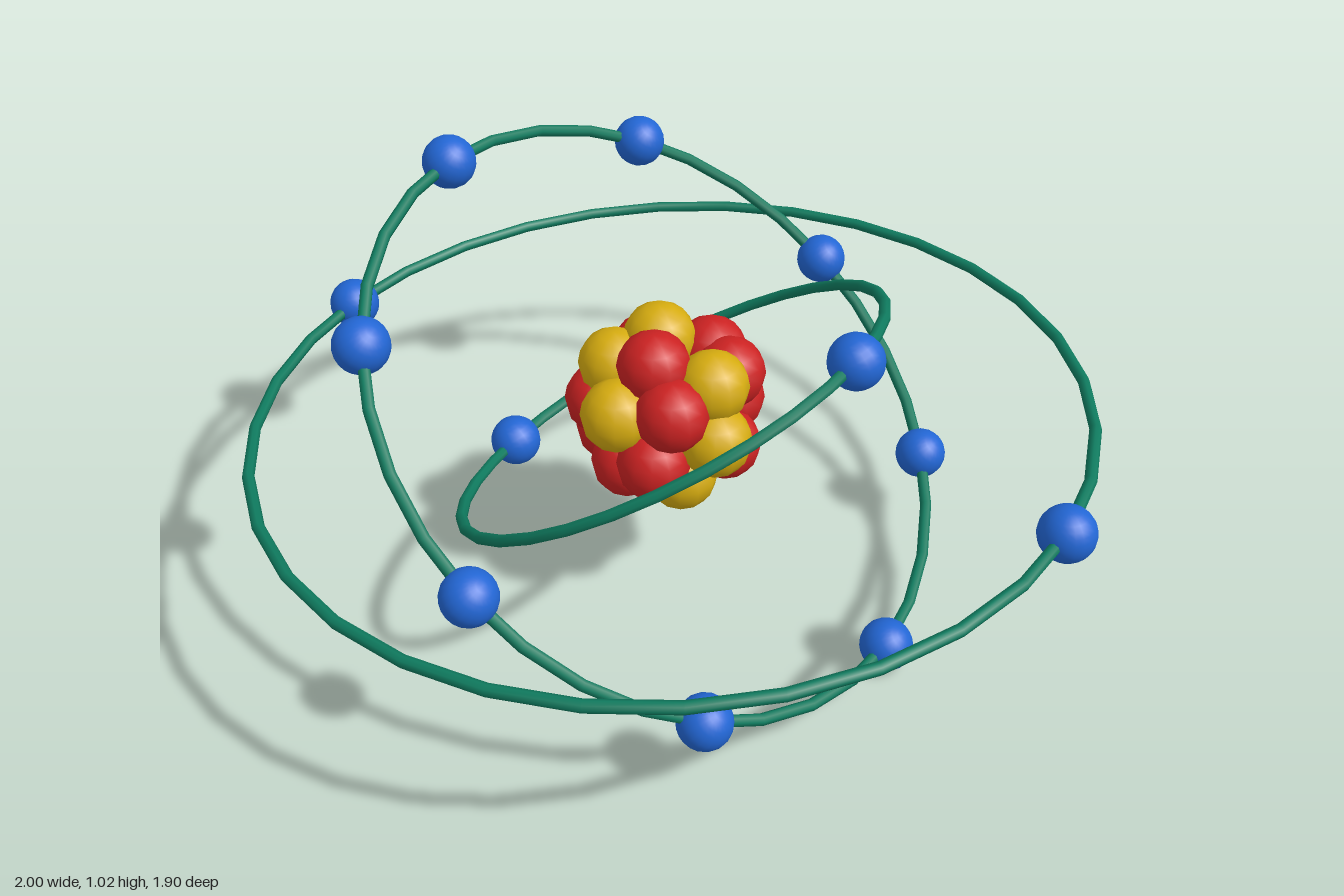
import * as THREE from 'three';

const mat = (name, color) => {
  const m = new THREE.MeshStandardMaterial({ color });
  m.name = name;
  return m;
};

export function createModel() {
  const red = mat('red', 0xcc2222);
  const yellow = mat('yellow', 0xd6ac10);
  const blue = mat('blue', 0x2266d4);
  const green = mat('green', 0x0f7b5f);

  const atom = new THREE.Group();
  atom.name = 'atom';
  atom.position.y = 0.516;

  // Nucleus: a tight shell of balls, given by their directions from the centre
  const nucleus = new THREE.Group();
  nucleus.name = 'nucleus';
  const ball = new THREE.SphereGeometry(0.083, 12, 8);
  const addBalls = (name, material, dirs) => dirs.forEach((d) => {
    const m = new THREE.Mesh(ball, material);
    m.name = name;
    m.position.set(...d).setLength(0.157);
    nucleus.add(m);
  });
  addBalls('proton', red, [
    [0, 0.16, 0.07], [0.09, 0.085, 0.13], [0.12, 0.09, -0.1], [0.04, 0.1, -0.14],
    [0.14, -0.1, -0.05], [0.09, -0.03, -0.15], [0.05, -0.06, 0.15], [-0.17, 0, 0.07],
    [-0.14, -0.09, 0.05], [-0.05, -0.12, 0.12], [-0.13, 0.07, -0.1], [-0.11, -0.06, -0.12],
  ]);
  addBalls('neutron', yellow, [
    [-0.06, 0.16, -0.05], [0.125, 0.11, 0.01], [0.16, -0.01, 0.05], [0.08, -0.14, 0.07],
    [0.07, -0.13, -0.1], [-0.05, 0.05, 0.16], [-0.13, 0.1, 0.04], [0, -0.02, -0.17],
    [-0.12, -0.13, -0.04], [0, -0.17, 0],
  ]);
  atom.add(nucleus);

  // Tilted orbits, each with evenly spaced electrons
  const electron = new THREE.SphereGeometry(0.061, 20, 14);
  const orbits = [
    { name: 'innerOrbit', radius: 0.535, tilt: 0.572, angles: [0, 180] },
    { name: 'middleOrbit', radius: 0.737, tilt: -0.658, angles: [0, 45, 90, 135, 180, 225, 270, 315] },
    { name: 'outerOrbit', radius: 0.939, tilt: 0.056, angles: [0, 180] },
  ];
  for (const { name, radius, tilt, angles } of orbits) {
    const orbit = new THREE.Group();
    orbit.name = name;
    orbit.rotation.z = tilt;
    const ring = new THREE.Mesh(new THREE.TorusGeometry(radius, 0.0135, 8, 32), green);
    ring.name = 'orbitRing';
    ring.rotation.x = Math.PI / 2;
    orbit.add(ring);
    for (const deg of angles) {
      const a = THREE.MathUtils.degToRad(deg);
      const e = new THREE.Mesh(electron, blue);
      e.name = 'electron';
      e.position.set(radius * Math.cos(a), 0, radius * Math.sin(a));
      orbit.add(e);
    }
    atom.add(orbit);
  }

  const model = new THREE.Group();
  model.name = 'atomModel';
  model.add(atom);
  return model;
}
